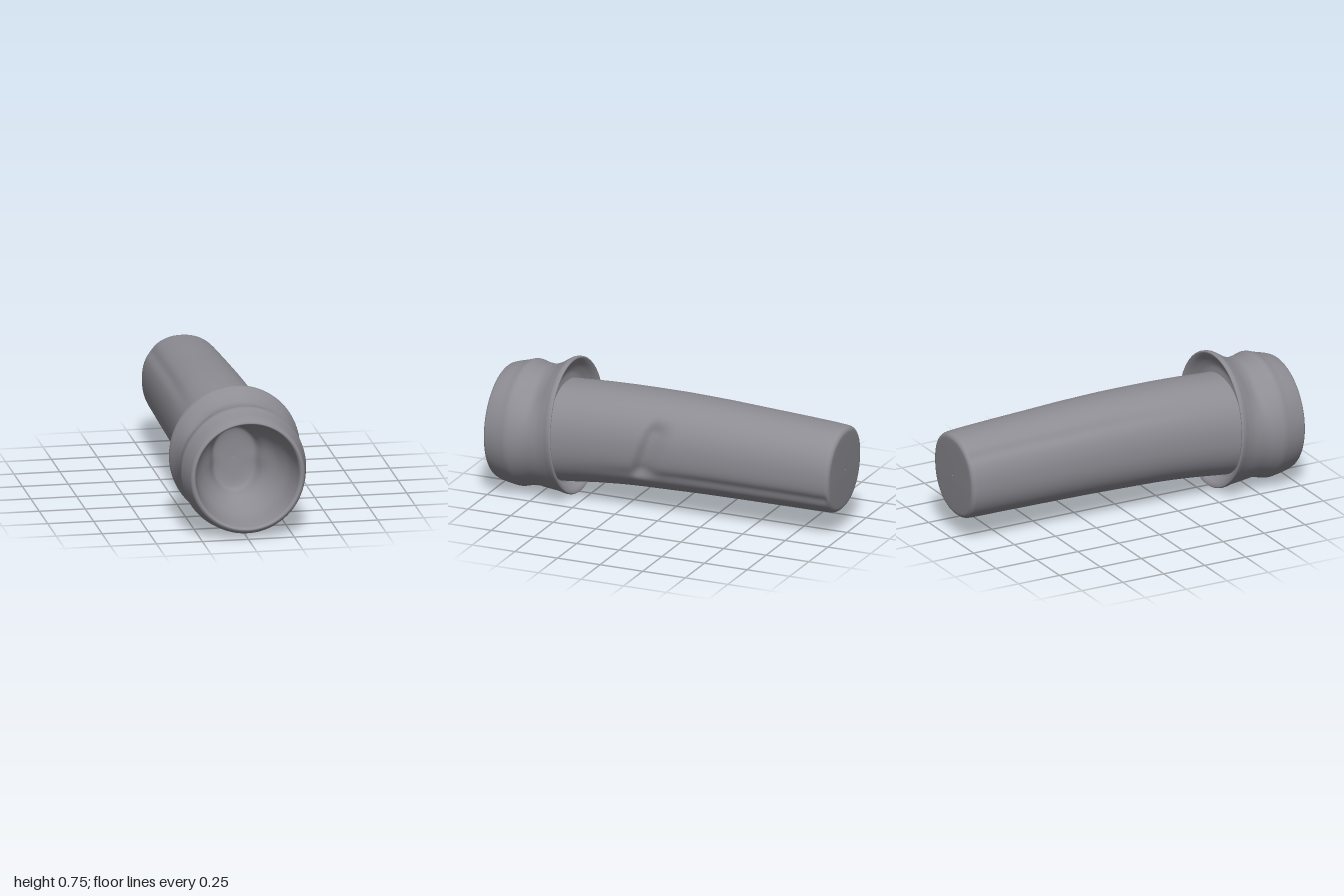
import * as THREE from 'three';

const SEGMENTS = 128;
const gauss = (d, w) => Math.exp(-(d * d) / (w * w));
const smooth = THREE.MathUtils.smoothstep;

// Smooth interpolation through the rows of a section table
function refine(rows, steps) {
  const out = [];
  const at = (i) => rows[Math.min(Math.max(i, 0), rows.length - 1)];
  for (let i = 0; i < rows.length - 1; i++) {
    for (let s = 0; s < steps; s++) {
      const t = s / steps;
      out.push(rows[i].map((p1, k) => {
        const p0 = at(i - 1)[k], p2 = at(i + 1)[k], p3 = at(i + 2)[k];
        // limited tangents avoid overshoot at tight rims
        const lim = (a, b) => (a * b <= 0 ? 0 : (2 * a * b) / (a + b));
        const m1 = lim(p1 - p0, p2 - p1), m2 = lim(p2 - p1, p3 - p2);
        const t2 = t * t, t3 = t2 * t;
        return (2 * t3 - 3 * t2 + 1) * p1 + (t3 - 2 * t2 + t) * m1
          + (3 * t2 - 2 * t3) * p2 + (t3 - t2) * m2;
      }));
    }
  }
  out.push(rows[rows.length - 1]);
  return out;
}

// Loft of rounded sections: [z, half width, top y, bottom y, tilt]
function loft(rows, steps, power, sculpt) {
  const positions = [], index = [];
  const rings = refine(rows, steps);
  const v = new THREE.Vector3();
  rings.forEach(([z, w, top, bottom, tilt], i) => {
    for (let j = 0; j < SEGMENTS; j++) {
      const a = (j / SEGMENTS) * Math.PI * 2;
      const c = Math.cos(a), s = Math.sin(a);
      const px = Math.sign(c) * Math.abs(c) ** (2 / power);
      const py = Math.sign(s) * Math.abs(s) ** (2 / power);
      v.set(w * px, (top + bottom) / 2 + ((top - bottom) / 2) * py, z + tilt * s);
      sculpt(v, a, i / steps);
      positions.push(v.x, v.y, v.z);
      if (i < rings.length - 1) {
        const k = (j + 1) % SEGMENTS, p = i * SEGMENTS, q = p + SEGMENTS;
        index.push(p + j, q + j, p + k, p + k, q + j, q + k);
      }
    }
  });
  const g = new THREE.BufferGeometry();
  g.setAttribute('position', new THREE.Float32BufferAttribute(positions, 3));
  g.setIndex(index);
  g.computeVertexNormals();
  return g;
}

// Push a point toward the long axis
function press(v, amount) {
  const dx = v.x, dy = v.y - 0.36, r = Math.hypot(dx, dy) || 1;
  v.x -= (dx / r) * amount;
  v.y -= (dy / r) * amount;
}

export function createModel() {
  const grey = new THREE.MeshStandardMaterial({ color: 0x8e8d94 });
  const group = new THREE.Group();
  group.name = 'socketAndShaft';

  // Cup floor, cup wall, front rim, outer collar, flared back lip, rear recess
  const collarRows = [
    [0.56, 0.002, 0.342, 0.338, 0],
    [0.565, 0.07, 0.44, 0.22, 0],
    [0.58, 0.12, 0.51, 0.165, 0],
    [0.64, 0.155, 0.535, 0.145, 0],
    [0.72, 0.205, 0.57, 0.115, 0],
    [0.84, 0.255, 0.61, 0.08, 0],
    [0.95, 0.276, 0.628, 0.067, 0],
    [0.985, 0.282, 0.633, 0.062, 0],
    [0.998, 0.295, 0.643, 0.052, 0],
    [0.99, 0.308, 0.656, 0.038, 0],
    [0.965, 0.316, 0.668, 0.025, 0],
    [0.9, 0.332, 0.686, 0.012, 0],
    [0.855, 0.34, 0.699, 0.006, 0],
    [0.81, 0.335, 0.689, 0.014, 0],
    [0.75, 0.328, 0.686, 0.02, 0.003],
    [0.69, 0.331, 0.703, 0.015, 0.008],
    [0.635, 0.343, 0.732, 0.008, 0.016],
    [0.605, 0.354, 0.748, 0.002, 0.018],
    [0.59, 0.357, 0.749, 0.001, 0.018],
    [0.583, 0.35, 0.742, 0.007, 0.018],
    [0.59, 0.335, 0.727, 0.022, 0.018],
    [0.62, 0.305, 0.69, 0.045, 0.015],
    [0.635, 0.27, 0.645, 0.065, 0.01],
    [0.635, 0.22, 0.58, 0.12, 0],
  ];
  const collar = new THREE.Mesh(loft(collarRows, 5, 2, (v, a, row) => {
    if (row > 9 && row < 18) {
      // Worn hollows on the upper shoulders and small dents underneath
      const d = Math.abs(Math.sin((a - Math.PI / 2) / 2)) * 2;
      press(v, 0.016 * gauss(d - 0.75, 0.3) * gauss(v.z - 0.74, 0.06));
      const b = Math.abs(Math.sin((a + Math.PI / 2) / 2)) * 2;
      press(v, 0.012 * gauss(b - 0.4, 0.16) * gauss(v.z - 0.78, 0.05));
    } else if (row < 4 && row > 0.5) {
      // Uneven lower part of the cup wall
      press(v, 0.012 * gauss(Math.sin(a), 0.35) * Math.sin((row / 4) * Math.PI));
    }
  }), grey);
  collar.name = 'hollowCollar';

  // Long tapering shaft with a rounded, slightly slanted end
  const shaftRows = [
    [0.64, 0.262, 0.622, 0.07, 0],
    [0.58, 0.26, 0.625, 0.075, 0],
    [0.4, 0.256, 0.634, 0.094, 0],
    [0.2, 0.251, 0.639, 0.107, 0],
    [0, 0.246, 0.64, 0.112, 0],
    [-0.25, 0.24, 0.634, 0.117, 0],
    [-0.5, 0.234, 0.622, 0.119, 0],
    [-0.75, 0.226, 0.61, 0.12, 0],
    [-0.92, 0.221, 0.599, 0.12, -0.008],
    [-0.965, 0.218, 0.593, 0.123, -0.012],
    [-0.98, 0.21, 0.583, 0.131, -0.013],
    [-0.987, 0.195, 0.566, 0.148, -0.012],
    [-0.989, 0.1, 0.46, 0.25, -0.006],
    [-0.99, 0.001, 0.361, 0.359, 0],
  ];
  const shaft = new THREE.Mesh(loft(shaftRows, 14, 2.2, (v, a, row) => {
    if (row > 10) return;
    const fade = smooth(-v.z, -0.55, 0.3) * (1 - smooth(row, 8.5, 10));
    // Shallow lengthwise flutes
    press(v, 0.009 * fade * gauss(a - 5.78, 0.13));
    press(v, 0.008 * fade * gauss(a - 2.45, 0.14));
    // Slanted notch in one side, steep at its front edge
    if (v.x > 0) {
      const edge = 0.05 + (0.53 - v.y) * 0.36;
      const along = edge - v.z;
      const depth = smooth(along, -0.03, 0.02) * (1 - smooth(along, 0.02, 0.16));
      const band = smooth(v.y, 0.2, 0.28) * (1 - smooth(v.y, 0.47, 0.57));
      v.x -= 0.034 * depth * band;
    }
  }), grey);
  shaft.name = 'shaft';

  group.add(collar, shaft);
  return group;
}
